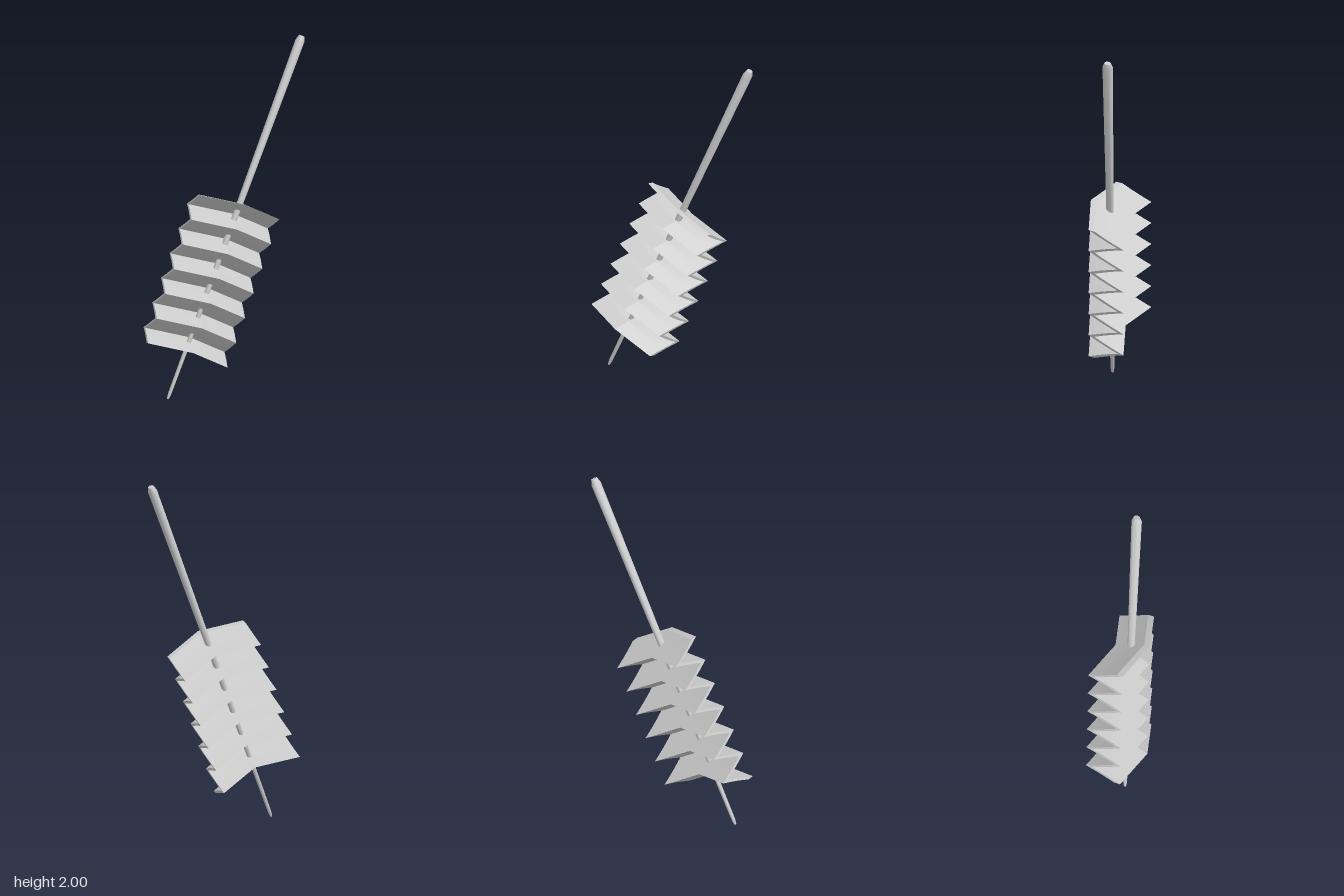
import * as THREE from 'three';
import { toCreasedNormals } from 'three/addons/utils/BufferGeometryUtils.js';

const V = (x, y, z) => new THREE.Vector3(x, y, z);
const material = new THREE.MeshStandardMaterial({ color: 0xcccccc, roughness: 0.8 });

// Zigzag strip, bent along its middle, swept through three stations across its width
function foldedStripGeometry() {
  const stations = [V(-0.165, 1.157, 0.01), V(0.08, 1.102, 0.078), V(0.292, 0.982, 0.018)];
  const step = V(-0.0548, -0.1355, 0.019);  // one full fold along the stick
  const back = V(-0.001, -0.04, -0.207);    // front folds to back folds
  const folds = 6, perSheet = 6, thick = 0.17; // thick: share of the depth

  // Profile: [depth, distance along the stick in folds]
  const profile = [];
  for (let s = 0; s < folds * 2; s++) {
    for (let j = 0; j <= perSheet; j++) {
      if (s > 0 && j === 0) continue;
      const t = j / perSheet;
      const toBack = s % 2 === 0;
      const bulge = 0.04 * Math.sin(Math.PI * t) * (toBack ? 1 : -1);
      profile.push([toBack ? t : 1 - t, (s + t + bulge) / 2]);
    }
  }
  const n = profile.length, ring = 2 * n;
  const positions = [], index = [];
  for (const origin of stations) {
    const point = (d, h) => positions.push(
      ...origin.clone().addScaledVector(back, d).addScaledVector(step, h).toArray());
    for (const [d, h] of profile) point(d * (1 - thick), h);
    for (const [d, h] of [...profile].reverse()) point(d * (1 - thick) + thick, h);
  }
  // Faces along the strip, including its two free ends
  for (let s = 0; s < stations.length - 1; s++) {
    for (let i = 0; i < ring; i++) {
      const a = s * ring + i, b = s * ring + (i + 1) % ring;
      index.push(a, b, b + ring, a, b + ring, a + ring);
    }
  }
  // Thin zigzag rims on both sides
  const last = (stations.length - 1) * ring;
  for (let i = 0; i < n - 1; i++) {
    const near = i, near2 = i + 1, far = ring - 1 - i, far2 = ring - 2 - i;
    index.push(far, far2, near2, far, near2, near);
    index.push(last + near, last + near2, last + far2, last + near, last + far2, last + far);
  }
  const geometry = new THREE.BufferGeometry();
  geometry.setAttribute('position', new THREE.Float32BufferAttribute(positions, 3));
  geometry.setIndex(index);
  return toCreasedNormals(geometry, 0.4);
}

// Tapered stick with a bevelled top and a blunt point
function stickMesh() {
  const bottom = V(-0.376, 0.003, 0.107), top = V(0.462, 1.997, -0.154);
  const axis = top.clone().sub(bottom), length = axis.length();
  const outline = [[0, 0], [0.006, 0], [0.01, 0.03], [0.027, length - 0.03], [0.017, length], [0, length]]
    .map(([r, y]) => new THREE.Vector2(r, y));
  const geometry = new THREE.LatheGeometry(outline, 14);
  geometry.scale(0.95, 1, 1.12);
  const mesh = new THREE.Mesh(toCreasedNormals(geometry, 0.6), material);
  mesh.position.copy(bottom);
  mesh.quaternion.setFromUnitVectors(V(0, 1, 0), axis.normalize());
  mesh.name = 'stick';
  return mesh;
}

export function createModel() {
  const model = new THREE.Group();
  model.name = 'skewer';
  const strip = new THREE.Mesh(foldedStripGeometry(), material);
  strip.name = 'foldedStrip';
  model.add(strip, stickMesh());
  return model;
}
